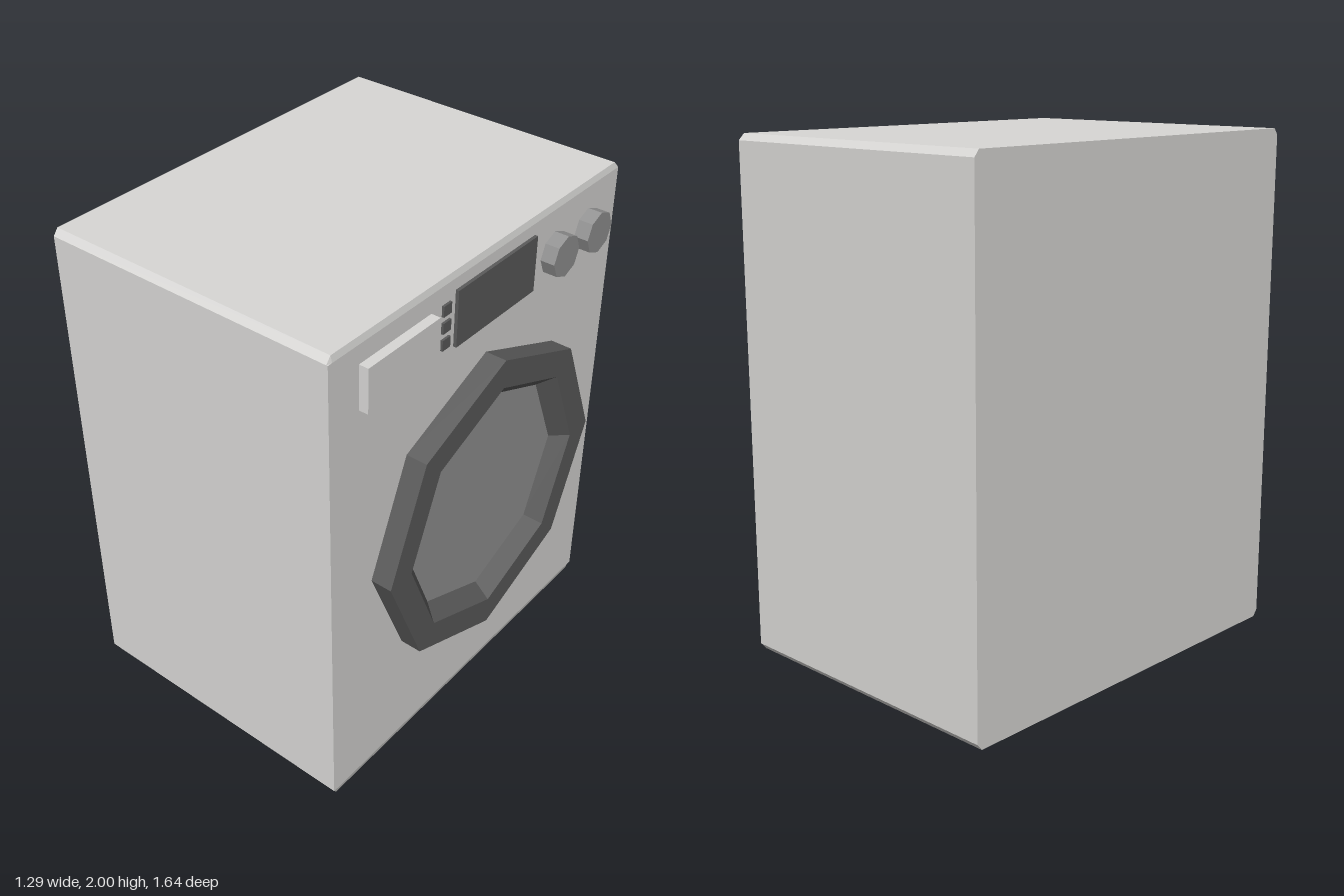
import * as THREE from 'three';

const BACK = -0.645, FRONT = 0.56; // cabinet extent; the door side faces +x

export function createModel() {
  const group = new THREE.Group();
  const enamel = new THREE.MeshStandardMaterial({ color: 0xd8d7d5 });
  const charcoal = new THREE.MeshStandardMaterial({ color: 0x5b5b5b });
  const grey = new THREE.MeshStandardMaterial({ color: 0x929292 });

  // Adds a faceted mesh
  function add(name, geometry, material, x = 0, y = 0, z = 0) {
    const flat = geometry.index ? geometry.toNonIndexed() : geometry;
    flat.computeVertexNormals();
    const mesh = new THREE.Mesh(flat, material);
    mesh.name = name;
    mesh.position.set(x, y, z);
    group.add(mesh);
  }

  // Box standing out from the cabinet front
  function panel(name, material, depth, y0, y1, z0, z1) {
    add(name, new THREE.BoxGeometry(depth, y1 - y0, z1 - z0), material,
      FRONT + depth / 2, (y0 + y1) / 2, (z0 + z1) / 2);
  }

  // Eight-sided disc with its axis along x
  function disc(name, material, radius, x0, x1, y, z) {
    const g = new THREE.CylinderGeometry(radius, radius, x1 - x0, 8).rotateZ(-Math.PI / 2);
    add(name, g, material, (x0 + x1) / 2, y, z);
  }

  // Cabinet: chamfered outline, with the top and bottom front edges sloped in
  const outline = [[0.8, 0], [0.82, 0.025], [0.82, 1.975], [0.8, 2],
    [-0.8, 2], [-0.82, 1.975], [-0.82, 0.025], [-0.8, 0]];
  const shape = new THREE.Shape(outline.map(([x, y]) => new THREE.Vector2(x, y)));
  const lip = 0.006;
  const cabinet = new THREE.ExtrudeGeometry(shape,
    { depth: FRONT - BACK, steps: 2, bevelEnabled: false }).rotateY(Math.PI / 2);
  const p = cabinet.attributes.position;
  const mid = (FRONT - BACK) / 2;
  for (let i = 0; i < p.count; i++) {
    if (Math.abs(p.getX(i) - mid) < 0.01) p.setX(i, FRONT - BACK - lip);
    else if (p.getX(i) > mid) p.setY(i, THREE.MathUtils.clamp(p.getY(i), 0.025, 1.975));
  }
  add('cabinet', cabinet, enamel, BACK);

  // Door: octagonal rim with a sloped inner edge around the glass
  const doorY = 0.955, doorZ = -0.022;
  const rim = [[0.627, 0], [0.627, 0.085], [0.51, 0.085], [0.45, 0.02]]
    .map(([r, h]) => new THREE.Vector2(r, h));
  add('doorRim', new THREE.LatheGeometry(rim, 8).rotateZ(-Math.PI / 2), charcoal, FRONT, doorY, doorZ);
  disc('doorGlass', grey, 0.455, FRONT, FRONT + 0.022, doorY, doorZ);

  // Control strip
  panel('detergentDrawer', enamel, 0.037, 1.73, 1.903, 0.31, 0.675);
  panel('displayScreen', charcoal, 0.013, 1.71, 1.93, -0.28, 0.18);
  for (let i = 0; i < 3; i++) {
    const y = 1.73 + i * 0.066;
    panel('button', charcoal, 0.009, y, y + 0.042, 0.21, 0.253);
  }
  for (const z of [-0.413, -0.632]) disc('knob', grey, 0.081, FRONT, 0.617, 1.805, z);

  return group;
}
